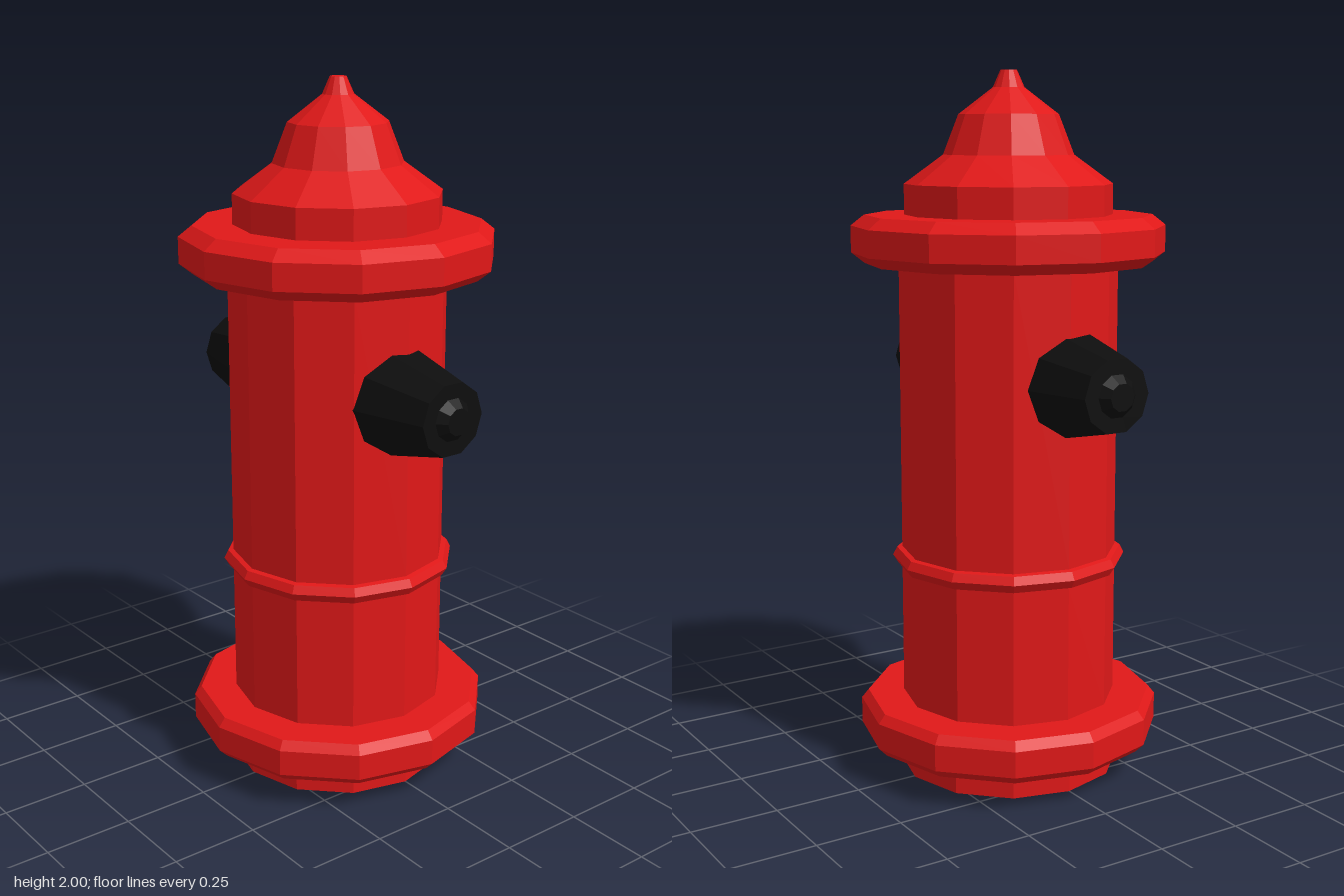
import * as THREE from 'three';

const red = new THREE.MeshStandardMaterial({ color: 0xe01818, flatShading: true, side: THREE.DoubleSide });
const black = new THREE.MeshStandardMaterial({ color: 0x0e0e0e, flatShading: true, side: THREE.DoubleSide });

// Faceted turned part from [radius, height] pairs, bottom to top
function turned(name, profile, sides, material) {
  const points = profile.map(([r, y]) => new THREE.Vector2(r, y));
  const mesh = new THREE.Mesh(new THREE.LatheGeometry(points, sides), material);
  mesh.name = name;
  return mesh;
}

export function createModel() {
  const model = new THREE.Group();
  model.name = 'fireHydrant';

  // Hollow twelve-sided shell, open underneath
  const shell = new THREE.Group();
  shell.name = 'shell';
  shell.position.x = -0.007;
  const add = (name, profile) => shell.add(turned(name, profile, 12, red));

  add('foot', [[0.32, 0], [0.32, 0.085]]);
  add('baseFlange', [
    [0.32, 0.085], [0.41, 0.085], [0.435, 0.11], [0.435, 0.185], [0.415, 0.21], [0.31, 0.21],
  ]);
  add('lowerBarrel', [[0.31, 0.21], [0.31, 0.595]]);
  add('barrelBand', [[0.31, 0.595], [0.322, 0.598], [0.337, 0.622], [0.325, 0.645], [0.31, 0.648]]);
  add('upperBarrel', [[0.31, 0.648], [0.31, 1.47]]);
  add('collar', [
    [0.31, 1.47], [0.405, 1.47], [0.443, 1.5], [0.443, 1.575], [0.405, 1.605], [0.293, 1.605],
  ]);
  add('bonnet', [
    [0.293, 1.605], [0.293, 1.69], [0.183, 1.77], [0.14, 1.88], [0.044, 1.953], [0.023, 2], [0, 2],
  ]);
  model.add(shell);

  // Tapered ten-sided side outlets with small end nuts
  const outletProfile = [[0.164, 0.22], [0.103, 0.485], [0.06, 0.485], [0.038, 0.51], [0, 0.51]];
  for (const [name, turn, z] of [['leftOutlet', 0, 0.003], ['rightOutlet', Math.PI, 0.032]]) {
    const outlet = turned(name, outletProfile, 10, black);
    outlet.geometry.rotateZ(-Math.PI / 2).rotateY(turn);
    outlet.position.set(0, 1.153, z);
    model.add(outlet);
  }
  return model;
}
